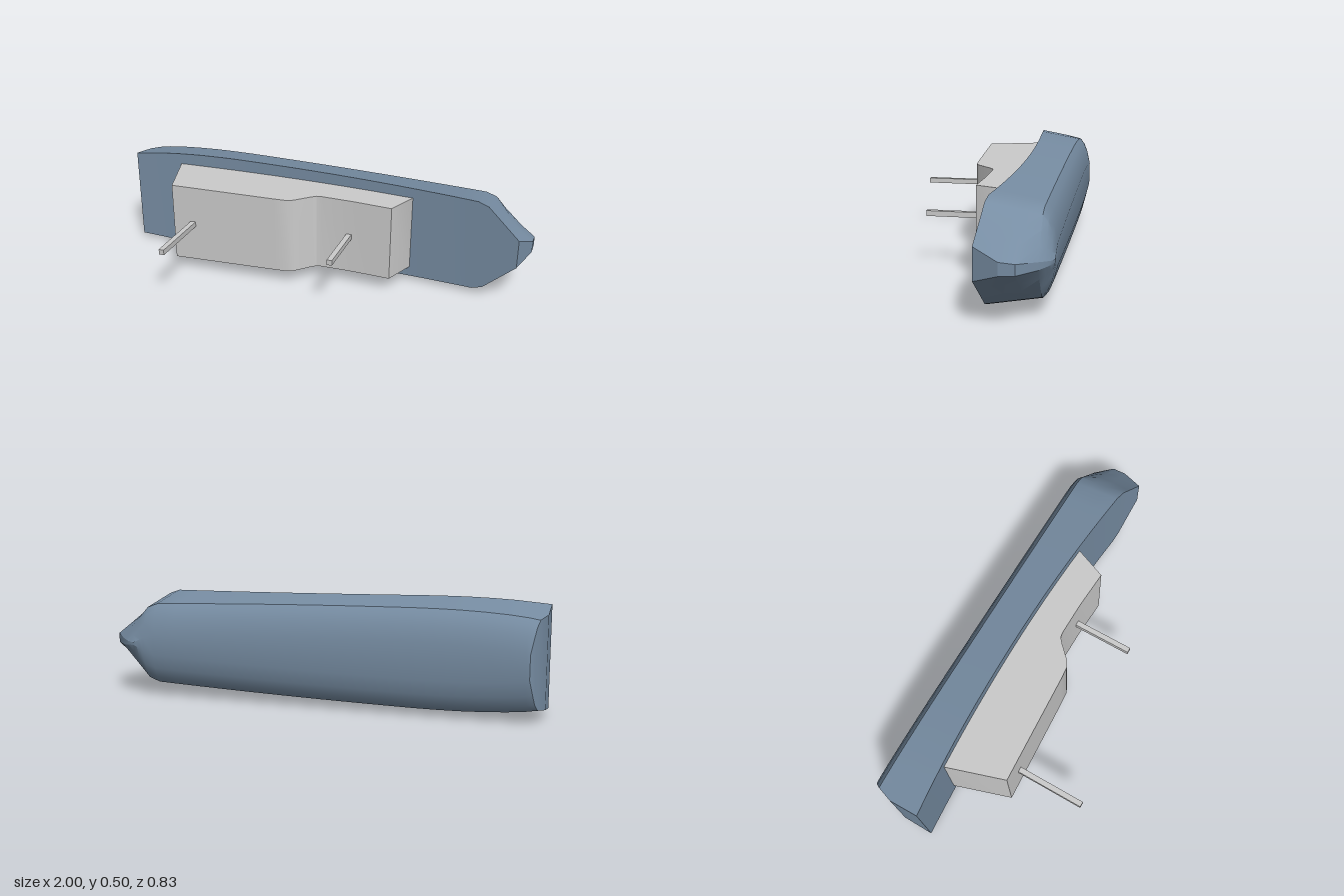
import * as THREE from 'three';
import { toCreasedNormals } from 'three/addons/utils/BufferGeometryUtils.js';

const CY = 0.248; // height of the lengthwise symmetry plane
const grey = new THREE.MeshStandardMaterial({ color: 0xcccccc });
const blue = new THREE.MeshStandardMaterial({ color: 0x778da3 });

// piecewise linear lookup through [x, value] points
function lookup(pts, x) {
  for (let i = 1; i < pts.length; i++) {
    const [x0, v0] = pts[i - 1], [x1, v1] = pts[i];
    if (x <= x1) return v0 + (v1 - v0) * Math.max(0, (x - x0) / (x1 - x0));
  }
  return pts[pts.length - 1][1];
}

// deck line, half width at the deck
const sheer = (x) => -0.19 + (x < -0.1 ? 0.055 : 0.068) * (x + 0.1) ** 2;
const beam = [[-1, 0.225], [-0.85, 0.239], [-0.7, 0.247], [-0.5, 0.248], [0, 0.238], [0.75, 0.222], [0.8, 0.205]];

// hull levels from deck to keel: z, inset of the bilge, stern x, bow x, bow half width
const levels = [
  { z: null, inset: 0, stern: -1, bow: 0.95, tip: 0.068 },
  { z: -0.22, inset: 0, stern: -1, bow: 1, tip: 0.027 },
  { z: -0.285, inset: 0, stern: -1, bow: 1, tip: 0.022 },
  { z: -0.36, inset: 0, stern: -0.975, bow: 0.935, tip: 0.016 },
  { z: -0.382, inset: 0.024, stern: -0.965, bow: 0.908, tip: 0.012 },
  { z: -0.4, inset: 0.064, stern: -0.957, bow: 0.885, tip: 0.009 },
  { z: -0.415, inset: 0.125, stern: -0.945, bow: 0.85, tip: 0.006 },
];

function hullGeometry() {
  const stations = [-1, -0.93];
  for (let x = -0.85; x < 0.74; x += 0.1) stations.push(x);
  stations.push(0.75, 0.8, 0.85, 0.9, 0.95);
  const n = levels.length * 2;
  const pos = [], idx = [];

  // one closed ring per station: down one side and up the other
  for (const s of stations) {
    const side = levels.map((l) => {
      const t = Math.max(0, (s - 0.8) / 0.15); // progress into the bow
      let x = s;
      if (s === -1) x = l.stern;
      if (t > 0) x = 0.8 + t * (l.bow - 0.8);
      const z = l.z === null ? sheer(x) : l.z;
      const full = lookup(beam, s) - 0.18 * (sheer(s) - z) - l.inset;
      return [x, full + (l.tip - full) * t, z];
    });
    for (const [x, h, z] of side) pos.push(x, CY + h, z);
    for (const [x, h, z] of side.reverse()) pos.push(x, CY - h, z);
  }
  for (let i = 0; i < stations.length - 1; i++) {
    for (let j = 0; j < n; j++) {
      const a = i * n + j, b = i * n + ((j + 1) % n);
      idx.push(a, a + n, b, b, a + n, b + n);
    }
  }
  // transom and stem, in strips from side to side
  const e = (stations.length - 1) * n;
  for (let j = 0; j < levels.length - 1; j++) {
    const a = j, b = j + 1, c = n - 2 - j, d = n - 1 - j;
    idx.push(a, b, d, b, c, d);
    idx.push(e + a, e + d, e + b, e + b, e + d, e + c);
  }
  const g = new THREE.BufferGeometry();
  g.setAttribute('position', new THREE.Float32BufferAttribute(pos, 3));
  g.setIndex(idx);
  return toCreasedNormals(g, 0.42);
}

// stepped deckhouse: long profile extruded across, narrowing slightly forward
function houseGeometry() {
  const profile = [
    [-0.765, -0.2], [-0.76, -0.165], [-0.675, 0.1], [-0.16, 0.073], [-0.1, 0.068], [-0.07, 0.053],
    [-0.01, -0.008], [0.015, -0.029], [0.04, -0.033], [0.2, -0.031], [0.38, -0.02], [0.44, -0.17], [0.44, -0.2],
  ];
  const shape = new THREE.Shape(profile.map(([x, z]) => new THREE.Vector2(x, z)));
  const g = new THREE.ExtrudeGeometry(shape, { depth: 2, bevelEnabled: false });
  g.translate(0, 0, -1).rotateX(Math.PI / 2);
  const p = g.attributes.position;
  for (let i = 0; i < p.count; i++) {
    const half = 0.191 - 0.009 * (p.getX(i) + 0.76);
    p.setY(i, CY + p.getY(i) * half);
  }
  return toCreasedNormals(g, 0.5);
}

export function createModel() {
  const model = new THREE.Group();
  const add = (name, geometry, material) => {
    const mesh = new THREE.Mesh(geometry, material);
    mesh.name = name;
    model.add(mesh);
    return mesh;
  };

  add('hull', hullGeometry(), blue);
  add('deckhouse', houseGeometry(), grey);

  // square masts standing on the two roof levels
  for (const [name, x, z0, z1] of [['aftMast', -0.575, 0.06, 0.416], ['foreMast', 0.175, -0.06, 0.25]]) {
    add(name, new THREE.BoxGeometry(0.025, 0.025, z1 - z0), grey).position.set(x, CY, (z0 + z1) / 2);
  }
  return model;
}
